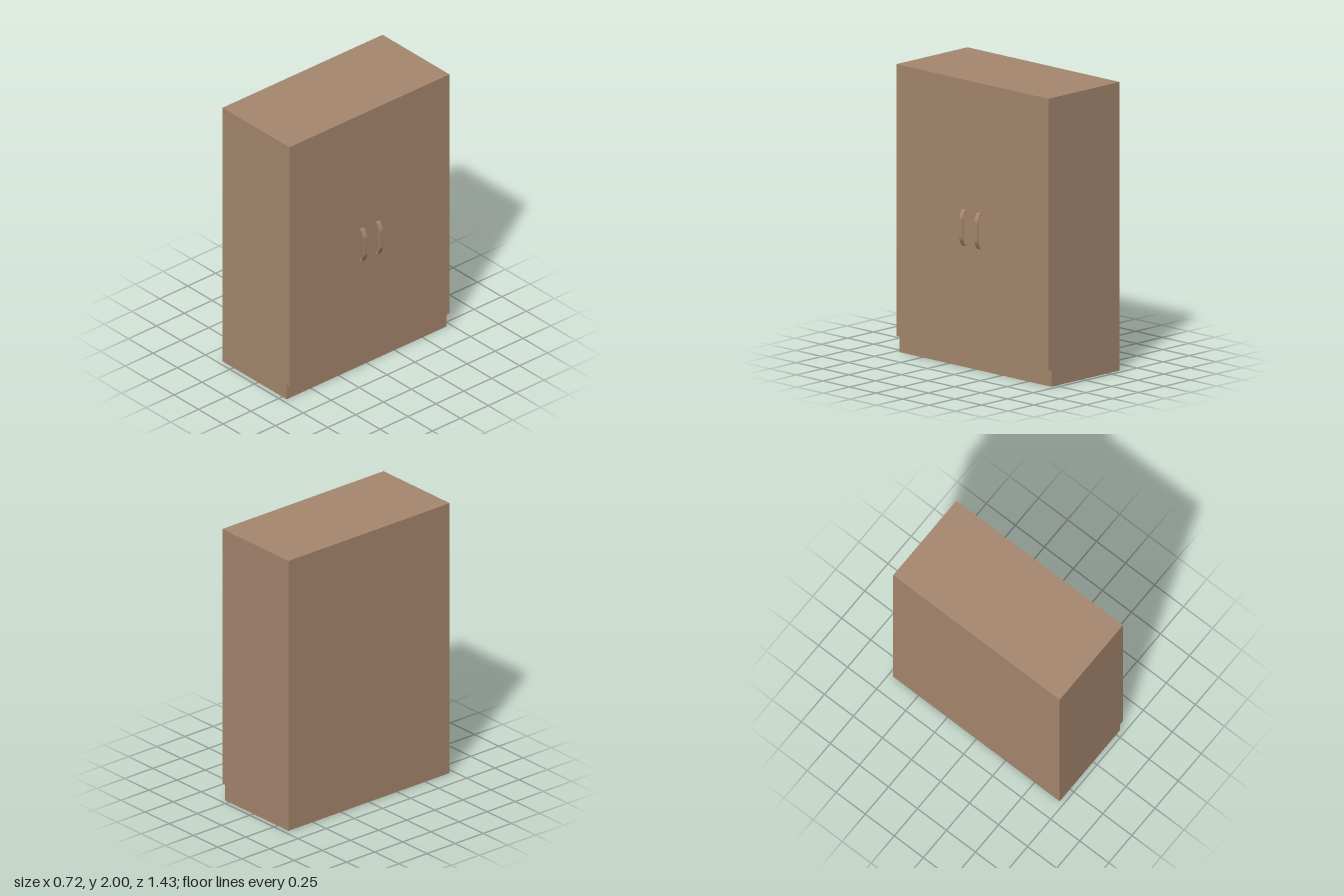
import * as THREE from 'three';

export function createModel() {
  const cabinet = new THREE.Group();
  cabinet.name = 'cabinet';
  const wood = new THREE.MeshStandardMaterial({ color: 0xa6876e });
  wood.name = 'wood';

  // Box given by its minimum and maximum corners
  function box(name, min, max) {
    const size = max.map((v, i) => v - min[i]);
    const mesh = new THREE.Mesh(new THREE.BoxGeometry(...size), wood);
    mesh.position.set(...max.map((v, i) => (v + min[i]) / 2));
    mesh.name = name;
    cabinet.add(mesh);
  }

  const bodyFront = 0.293, doorFront = 0.321, halfWidth = 0.717;
  box('body', [-0.362, 0, -halfWidth], [bodyFront, 2, halfWidth]);
  // Door panel stops above the recessed plinth
  box('doorPanel', [bodyFront, 0.115, -halfWidth], [doorFront, 2, halfWidth]);

  // Bent strip handle: side profile extruded across its width
  const mid = 0.977, width = 0.035;
  const outer = [[0, 0.125], [0.01, 0.125], [0.018, 0.12], [0.035, 0.085], [0.04, 0.066]];
  const inner = [[0, 0.118], [0.009, 0.118], [0.014, 0.114], [0.029, 0.082], [0.033, 0.065]];
  const mirrored = (pts) => pts.map(([x, y]) => [x, -y]).reverse();
  const outline = [
    ...outer, ...mirrored(outer),
    ...[...inner, ...mirrored(inner)].reverse(),
  ].map(([x, y]) => new THREE.Vector2(x, y));
  const handleGeometry = new THREE.ExtrudeGeometry(new THREE.Shape(outline), {
    depth: width, bevelEnabled: false,
  });
  handleGeometry.translate(0, 0, -width / 2);

  for (const side of [-1, 1]) {
    const handle = new THREE.Mesh(handleGeometry, wood);
    handle.name = side < 0 ? 'backHandle' : 'frontHandle';
    handle.position.set(doorFront, mid, side * 0.071);
    cabinet.add(handle);
  }
  return cabinet;
}
